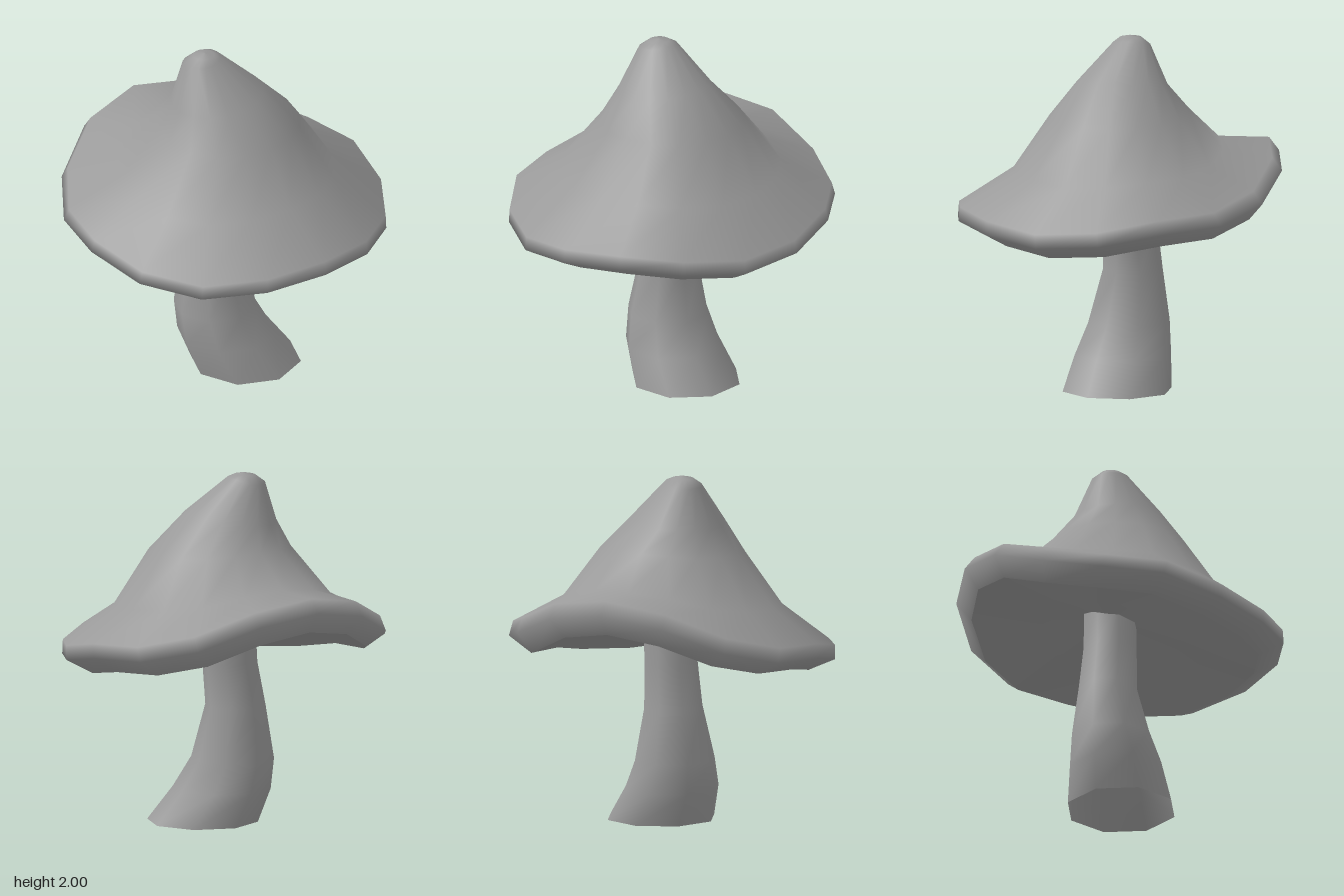
import * as THREE from 'three';

const material = new THREE.MeshStandardMaterial({ color: 0x9a9a9a, side: THREE.DoubleSide });

// Smooth skin through closed rings; point(ring, index, angle) gives [x, y, z], angle 0 faces +z
function loft(name, rings, sides, point) {
  const pos = [], index = [];
  rings.forEach((ring, j) => {
    for (let i = 0; i < sides; i++) {
      pos.push(...point(ring, i, (i / sides) * Math.PI * 2));
      if (j === rings.length - 1) continue;
      const a = j * sides + i, b = j * sides + (i + 1) % sides;
      index.push(a, b, b + sides, a, b + sides, a + sides);
    }
  });
  const geo = new THREE.BufferGeometry();
  geo.setAttribute('position', new THREE.Float32BufferAttribute(pos, 3));
  geo.setIndex(index);
  geo.computeVertexNormals();
  const mesh = new THREE.Mesh(geo, material);
  mesh.name = name;
  return mesh;
}

// Wavy rim: height change from front (first) round to back (last), mirrored left and right
const CAP_SIDES = 16;
const wave = [-0.03, -0.053, -0.085, -0.06, 0, 0.02, 0.09, 0.21, 0.26];

// Cap ring: centre x, centre z, radius x, radius z, height, share of the wave, sideways tilt.
// Where the rim waves, its sides also bow slightly to the back.
const capPoint = ([cx, cz, rx, rz, y, share, tilt], i, t) => [
  cx + rx * Math.sin(t),
  y + share * wave[Math.min(i, CAP_SIDES - i)] + tilt * Math.sin(t),
  cz + rz * Math.cos(t) - 0.04 * share * Math.sin(t) ** 2,
];

// Stem ring: centre x, height, centre z, radius
const stemPoint = ([cx, y, cz, r], i, t) => [cx + r * Math.sin(t), y, cz + r * Math.cos(t)];

export function createModel() {
  const model = new THREE.Group();
  model.name = 'mushroom';

  const rimEdge = [0, -0.03, 0.78, 0.82, 0.94, 1, 0];

  // Cap: rolled rim, flared slope and leaning rounded tip
  model.add(loft('cap', [
    rimEdge,
    [0, 0, 0.925, 0.93, 1.02, 1.15, 0.01],
    [0, 0.025, 0.917, 0.897, 1.1, 1.14, 0.01],
    [0, 0.005, 0.632, 0.597, 1.272, 0.5, 0.005],
    [0.015, 0, 0.415, 0.4, 1.557, 0.12, 0],
    [-0.045, -0.03, 0.265, 0.26, 1.742, -0.08, 0.028],
    [-0.103, -0.1, 0.108, 0.105, 1.958, -0.07, 0.015],
    [-0.095, -0.09, 0.06, 0.06, 1.988, 0, 0.002],
    [-0.09, -0.085, 0, 0, 2, 0, 0],
  ], CAP_SIDES, capPoint));

  // Underside, with its own normals so the rim edge stays sharp
  model.add(loft('capUnderside', [
    [0, -0.06, 0, 0, 1.12, 0, 0],
    [0, -0.045, 0.4, 0.41, 1.035, 0.5, 0],
    rimEdge,
  ], CAP_SIDES, capPoint));

  // Curved stem, open at the foot
  model.add(loft('stem', [
    [0.108, 0, 0.035, 0.317],
    [0.013, 0.19, -0.02, 0.28],
    [-0.03, 0.365, -0.065, 0.237],
    [-0.033, 0.67, -0.088, 0.173],
    [-0.008, 0.92, -0.068, 0.158],
    [0, 1.14, -0.065, 0.155],
  ], 8, stemPoint));

  return model;
}
